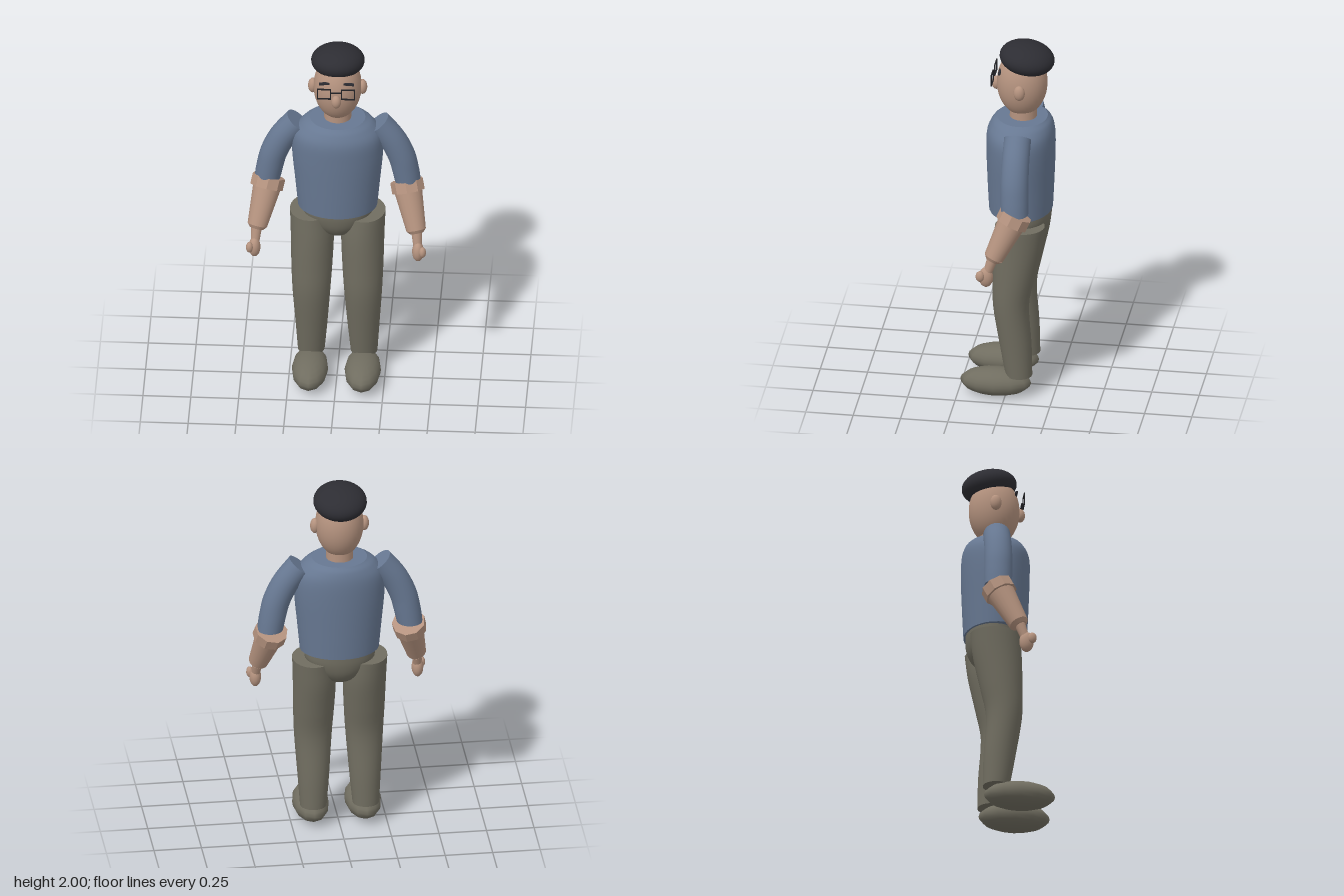
import * as THREE from 'three';

const material = (name, color, extra = {}) => {
  const m = new THREE.MeshStandardMaterial({ color, ...extra });
  m.name = name;
  return m;
};

// Closed solid through elliptical sections, bottom to top: [cx, cy, cz, rx, rz, tilt]
function loft(sections, sides = 24, steps = 20) {
  const centres = new THREE.CatmullRomCurve3(sections.map(s => new THREE.Vector3(s[0], s[1], s[2])), false, 'catmullrom');
  const sizes = new THREE.CatmullRomCurve3(sections.map(s => new THREE.Vector3(s[3], s[4], s[5] || 0)), false, 'catmullrom');
  const pos = [], index = [];
  const addRing = t => {
    const c = centres.getPoint(t), r = sizes.getPoint(t);
    const start = pos.length / 3;
    for (let j = 0; j < sides; j++) {
      const a = (j / sides) * Math.PI * 2, u = r.x * Math.cos(a);
      pos.push(c.x + u * Math.cos(r.z), c.y + u * Math.sin(r.z), c.z + r.y * Math.sin(a));
    }
    return start;
  };
  for (let i = 0; i <= steps; i++) addRing(i / steps);
  for (let i = 0; i < steps; i++) {
    for (let j = 0; j < sides; j++) {
      const k = (j + 1) % sides, a = i * sides, b = a + sides;
      index.push(a + j, b + j, a + k, b + j, b + k, a + k);
    }
  }
  // End caps have their own vertices so their rims stay sharp
  for (const t of [0, 1]) {
    const start = addRing(t), mid = pos.length / 3;
    pos.push(...centres.getPoint(t).toArray());
    for (let j = 0; j < sides; j++) {
      const a = start + j, b = start + ((j + 1) % sides);
      index.push(mid, t ? b : a, t ? a : b);
    }
  }
  const g = new THREE.BufferGeometry();
  g.setAttribute('position', new THREE.Float32BufferAttribute(pos, 3));
  g.setIndex(index);
  g.computeVertexNormals();
  return g;
}

export function createModel() {
  const model = new THREE.Group();
  model.name = 'standingMan';
  const skin = material('skin', 0xb5937f);
  const cuffSkin = material('cuffSkin', 0xb5937f, { flatShading: true });
  const shirt = material('shirtBlue', 0x677892);
  const trousers = material('trouserOlive', 0x706d60);
  const hair = material('hairBlack', 0x2d2d33);
  const frame = material('frameBlack', 0x222226);

  const add = (name, geometry, mat, x = 0, y = 0, z = 0) => {
    const m = new THREE.Mesh(geometry, mat);
    m.name = name;
    m.position.set(x, y, z);
    model.add(m);
    return m;
  };
  const ellipsoid = (name, mat, p, r, w = 24, h = 16) => {
    const m = add(name, new THREE.SphereGeometry(1, w, h), mat, ...p);
    m.scale.set(...r);
    return m;
  };
  const box = (name, mat, p, size) => add(name, new THREE.BoxGeometry(...size), mat, ...p);
  // Tapered cylinder running down from a to b
  const limb = (name, mat, a, b, ra, rb, sides = 20) => {
    const va = new THREE.Vector3(...a), vb = new THREE.Vector3(...b);
    const up = va.clone().sub(vb), mid = va.clone().add(vb).multiplyScalar(0.5);
    const m = add(name, new THREE.CylinderGeometry(ra, rb, up.length(), sides), mat, mid.x, mid.y, mid.z);
    m.quaternion.setFromUnitVectors(new THREE.Vector3(0, 1, 0), up.normalize());
    return m;
  };

  // Torso and pelvis
  add('torso', loft([
    [0, 1.05, -0.06, 0.208, 0.166],
    [0, 1.2, -0.06, 0.222, 0.173],
    [0, 1.38, -0.06, 0.238, 0.179],
    [0, 1.49, -0.06, 0.232, 0.177],
    [0, 1.55, -0.065, 0.19, 0.158],
    [0, 1.58, -0.068, 0.145, 0.132],
  ], 32, 30), shirt);
  add('pelvis', loft([
    [0, 0.868, -0.075, 0.035, 0.045],
    [0, 0.89, -0.075, 0.085, 0.09],
    [0, 0.94, -0.075, 0.145, 0.125],
    [0, 1.0, -0.075, 0.182, 0.14],
    [0, 1.06, -0.075, 0.185, 0.142],
  ], 28), trousers);

  // Head
  add('neck', new THREE.CylinderGeometry(0.07, 0.072, 0.14, 24), skin, 0, 1.62, -0.072);
  ellipsoid('head', skin, [0, 1.775, -0.066], [0.126, 0.185, 0.133], 32, 24);
  ellipsoid('nose', skin, [0, 1.76, 0.07], [0.026, 0.037, 0.026], 16, 12);

  // Hair: squashed dome cut flat below, tipped backwards
  const dome = [new THREE.Vector2(0, -0.6)];
  for (let i = 0; i <= 18; i++) {
    const a = THREE.MathUtils.lerp(-0.6435, Math.PI / 2, i / 18);
    dome.push(new THREE.Vector2(Math.max(0, Math.cos(a)), Math.sin(a)));
  }
  const cap = add('hair', new THREE.LatheGeometry(dome, 32), hair, 0, 1.917, -0.092);
  cap.scale.set(0.14, 0.083, 0.145);
  cap.rotation.x = -0.16;

  box('glassesBridge', frame, [0, 1.823, 0.083], [0.056, 0.006, 0.006]);

  for (const s of [1, -1]) {
    const side = s > 0 ? 'left' : 'right';

    // Face details
    ellipsoid(side + 'Ear', skin, [s * 0.13, 1.77, -0.07], [0.025, 0.042, 0.03], 16, 12);
    const brow = box(side + 'Eyebrow', hair, [s * 0.064, 1.854, 0.043], [0.056, 0.011, 0.012]);
    brow.rotation.z = -s * 0.06;
    for (const y of [1.786, 1.844]) box(side + 'LensRim', frame, [s * 0.0625, y, 0.083], [0.074, 0.006, 0.006]);
    for (const x of [0.0285, 0.0965]) box(side + 'LensRim', frame, [s * x, 1.815, 0.083], [0.006, 0.058, 0.006]);

    // Curved sleeve
    add(side + 'Sleeve', loft([
      [s * 0.367, 1.185, -0.082, 0.068, 0.072, 0],
      [s * 0.354, 1.26, -0.08, 0.07, 0.073, s * 0.12],
      [s * 0.332, 1.35, -0.077, 0.071, 0.073, s * 0.3],
      [s * 0.284, 1.45, -0.075, 0.071, 0.072, s * 0.5],
      [s * 0.21, 1.545, -0.074, 0.07, 0.071, s * 0.69],
    ]), shirt);

    // Forearm with a faceted elbow band, then the hand
    limb(side + 'ElbowBand', cuffSkin, [s * 0.36, 1.18, -0.09], [s * 0.372, 1.128, -0.066], 0.088, 0.088, 9);
    limb(side + 'Forearm', skin, [s * 0.362, 1.16, -0.08], [s * 0.415, 0.945, 0.021], 0.077, 0.052);
    limb(side + 'ForearmEnd', skin, [s * 0.415, 0.945, 0.021], [s * 0.419, 0.929, 0.029], 0.052, 0.036);
    limb(side + 'Wrist', skin, [s * 0.418, 0.94, 0.026], [s * 0.426, 0.85, 0.056], 0.029, 0.022, 14);
    ellipsoid(side + 'Hand', skin, [s * 0.427, 0.835, 0.06], [0.031, 0.056, 0.038], 16, 12);
    ellipsoid(side + 'Thumb', skin, [s * 0.452, 0.848, 0.088], [0.019, 0.03, 0.023], 14, 10);

    // Leg bent slightly at the knee, and foot
    add(side + 'Leg', loft([
      [s * 0.138, 0.13, -0.07, 0.07, 0.07],
      [s * 0.136, 0.3, -0.053, 0.083, 0.083],
      [s * 0.135, 0.53, -0.028, 0.099, 0.094],
      [s * 0.133, 0.7, -0.042, 0.108, 0.111],
      [s * 0.132, 0.87, -0.062, 0.113, 0.128],
      [s * 0.141, 1.002, -0.075, 0.109, 0.131],
    ]), trousers);
    ellipsoid(side + 'Foot', trousers, [s * 0.138, 0.082, 0.053], [0.095, 0.075, 0.187], 12, 12);
  }
  return model;
}
